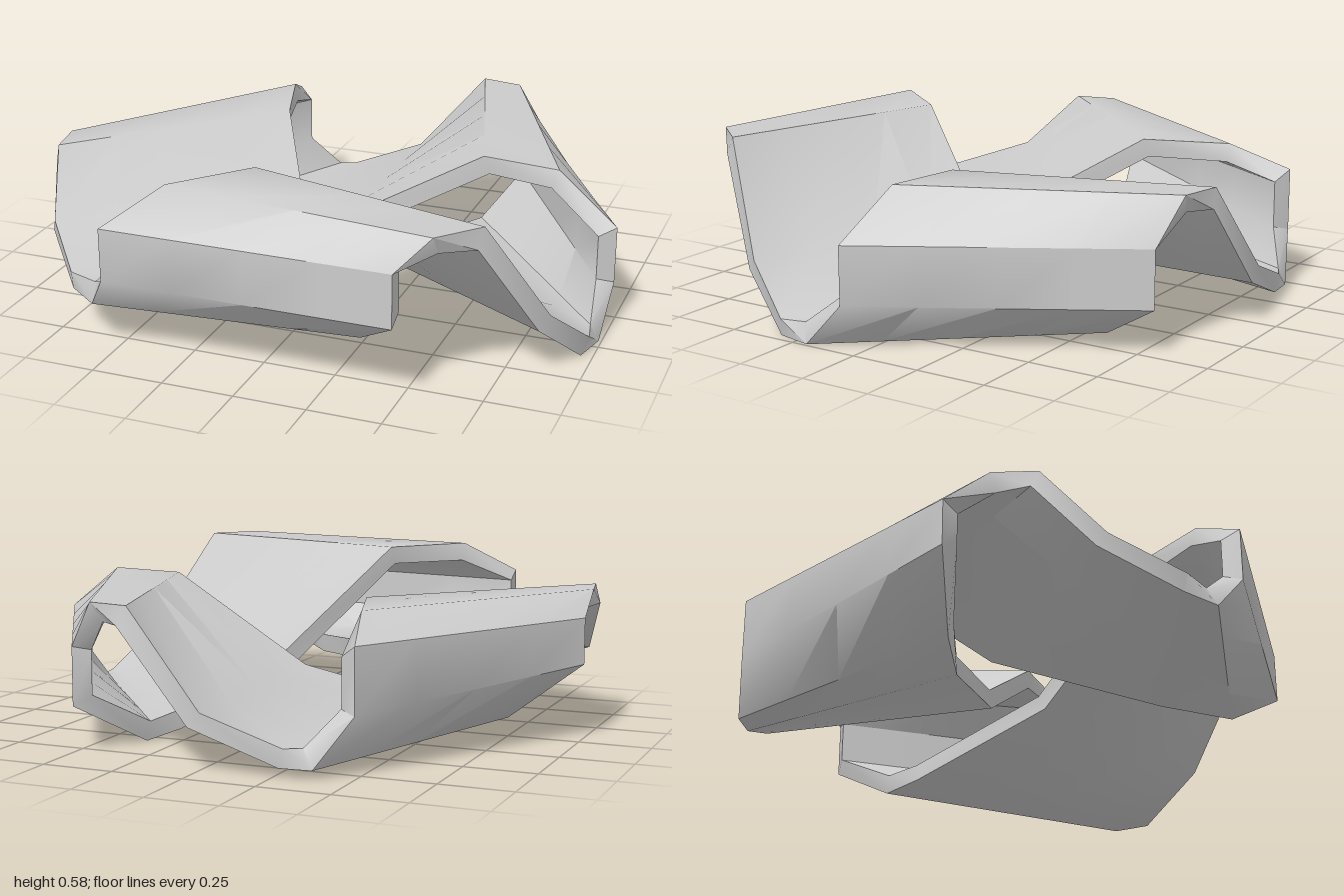
import * as THREE from 'three';
import { toCreasedNormals } from 'three/addons/utils/BufferGeometryUtils.js';

const THICKNESS = 0.065, ACROSS = 4, ROWS = 7;

// Three bands of the folded loop. Each row holds the outer and inner edge point,
// from the upper half of one fold to the lower half of the next.
const BANDS = [
  [ // front fold to right fold
    [0.5, 0.465, 0.915, -0.5, 0.465, 0.915],
    [0.61, 0.58, 0.86, -0.34, 0.58, 0.75],
    [0.73, 0.58, 0.72, -0.13, 0.58, 0.5],
    [0.88, 0.19, 0.52, 0.12, 0.2, 0.1],
    [0.96, 0, 0.33, 0.3, 0.02, -0.42],
    [0.99, 0, 0.2, 0.36, 0, -0.56],
    [1, 0.155, 0.05, 0.5, 0.155, -0.81],
  ],
  [ // right fold to left fold
    [0.5, 0.355, -0.81, 1, 0.355, 0.05],
    [0.4, 0.515, -0.86, 0.78, 0.515, 0],
    [0.25, 0.515, -0.89, 0.5, 0.515, -0.04],
    [0, 0.17, -0.92, 0, 0.18, -0.06],
    [-0.27, 0.03, -0.87, -0.54, 0.03, -0.03],
    [-0.38, 0.03, -0.86, -0.75, 0.065, 0],
    [-0.5, 0.2, -0.81, -1, 0.26, 0.05],
  ],
  [ // left fold to front fold
    [-1, 0.42, 0.05, -0.5, 0.42, -0.81],
    [-0.99, 0.5, 0.2, -0.44, 0.5, -0.6],
    [-0.96, 0.5, 0.35, -0.34, 0.5, -0.3],
    [-0.89, 0.27, 0.53, -0.17, 0.27, 0],
    [-0.7, 0.155, 0.75, 0.16, 0.155, 0.53],
    [-0.58, 0.155, 0.84, 0.34, 0.155, 0.76],
    [-0.5, 0.28, 0.915, 0.5, 0.28, 0.915],
  ],
];

// Row i of the endless strip; the edges trade places at every fold,
// so the strip closes on itself only after two laps.
function row(i) {
  const lap = ROWS * 6;
  const n = ((i % lap) + lap) % lap;
  const band = Math.floor(n / ROWS), r = n % ROWS;
  const p = BANDS[band % 3][r];
  const outer = new THREE.Vector3(p[0], p[1], p[2]);
  const inner = new THREE.Vector3(p[3], p[4], p[5]);
  const flip = band % 2 === 1;
  // which side of the strip the listed points lie on
  const side = Math.sign(3 - r) * (flip ? -1 : 1);
  return { ends: flip ? [inner, outer] : [outer, inner], side };
}

// Mitred strip normal at one edge of row i
function miter(i, e) {
  const [prev, here, next] = [row(i - 1), row(i), row(i + 1)];
  const across = here.ends[1].clone().sub(here.ends[0]);
  const normal = (a, b) => b.ends[e].clone().sub(a.ends[e]).cross(across).normalize();
  const n1 = normal(prev, here), n2 = normal(here, next);
  const scale = 1 / Math.max(0.9, 1 + n1.dot(n2));
  return n1.add(n2).multiplyScalar(scale);
}

// Closed cross-section of the strip at row i: along one face, back along the other
function section(i) {
  const { ends, side } = row(i);
  const faces = [1, -1].map((f) => ends.map((p, e) =>
    p.clone().addScaledVector(miter(i, e), (f - side) * THICKNESS / 2)));
  const ring = [];
  for (let j = 0; j <= ACROSS; j++) ring.push(faces[0][0].clone().lerp(faces[0][1], j / ACROSS));
  for (let j = ACROSS; j >= 0; j--) ring.push(faces[1][0].clone().lerp(faces[1][1], j / ACROSS));
  return ring;
}

// One band with the fold at its far end
function bandGeometry(k) {
  const positions = [];
  const tri = (...pts) => pts.forEach((p) => positions.push(p.x, p.y, p.z));
  for (let r = 0; r < ROWS; r++) {
    const a = section(k * ROWS + r), b = section(k * ROWS + r + 1);
    for (let j = 0; j < a.length; j++) {
      const m = (j + 1) % a.length;
      tri(a[j], b[j], a[m]);
      tri(b[j], b[m], a[m]);
    }
  }
  const geometry = new THREE.BufferGeometry();
  geometry.setAttribute('position', new THREE.Float32BufferAttribute(positions, 3));
  return toCreasedNormals(geometry, 0.7);
}

export function createModel() {
  const group = new THREE.Group();
  group.name = 'foldedLoop';
  const material = new THREE.MeshStandardMaterial({ color: 0xcccccc, side: THREE.DoubleSide });
  ['frontToRightBand', 'rightToLeftBand', 'leftToFrontBand'].forEach((name, k) => {
    const mesh = new THREE.Mesh(bandGeometry(k), material);
    mesh.name = name;
    group.add(mesh);
  });
  return group;
}
